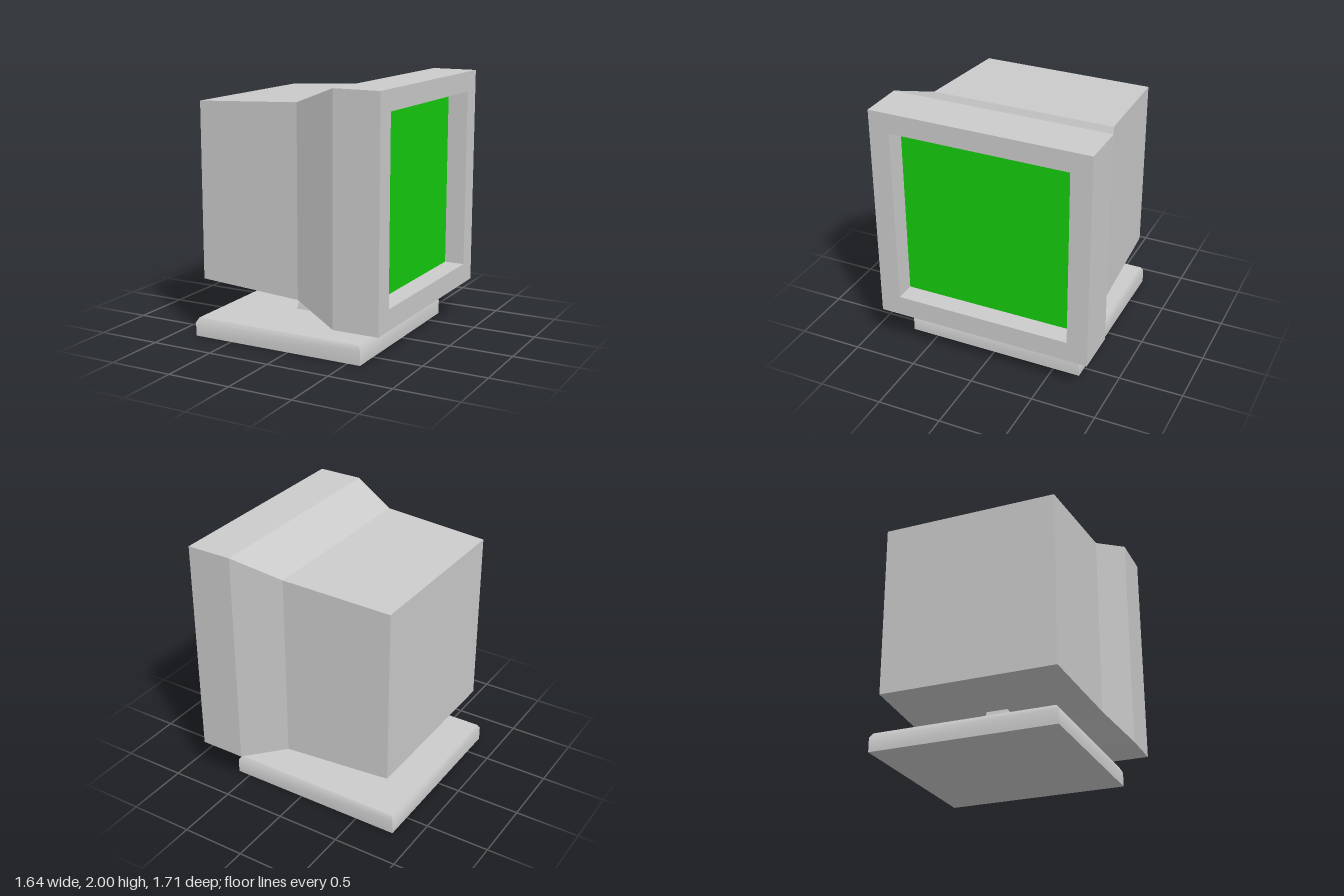
import * as THREE from 'three';
import { toCreasedNormals } from 'three/addons/utils/BufferGeometryUtils.js';

// Rectangular section across x: half depth hz, heights y0..y1
const sectionX = (x, y0, y1, hz) => [
  [x, y0, -hz], [x, y1, -hz], [x, y1, hz], [x, y0, hz],
];

// Rectangular section across y: x0..x1, half depth hz
const sectionY = (y, x0, x1, hz) => [
  [x0, y, -hz], [x0, y, hz], [x1, y, hz], [x1, y, -hz],
];

// Join four-cornered sections into a flat-faced solid, with optional caps
function loft(rings, capStart = true, capEnd = true) {
  const positions = [];
  const quad = (a, b, c, d) => positions.push(...a, ...b, ...c, ...a, ...c, ...d);
  for (let r = 0; r < rings.length - 1; r++) {
    for (let i = 0; i < 4; i++) {
      const j = (i + 1) % 4;
      quad(rings[r][i], rings[r][j], rings[r + 1][j], rings[r + 1][i]);
    }
  }
  if (capStart) quad(...[...rings[0]].reverse());
  if (capEnd) quad(...rings[rings.length - 1]);
  const geometry = new THREE.BufferGeometry();
  geometry.setAttribute('position', new THREE.Float32BufferAttribute(positions, 3));
  geometry.computeVertexNormals();
  return geometry;
}

export function createModel() {
  const group = new THREE.Group();
  const grey = new THREE.MeshStandardMaterial({ color: 0xcccccc });
  const green = new THREE.MeshStandardMaterial({ color: 0x14cc0d });

  const add = (name, geometry, material) => {
    const mesh = new THREE.Mesh(geometry, material);
    mesh.name = name;
    group.add(mesh);
    return mesh;
  };

  // Housing: tapered back, flared front, bezel, then the walls of the recess
  const opening = [0.45, 1.845, 0.695];
  const screenX = 0.66;
  add('housing', loft([
    sectionX(-0.75, 0.463, 1.83, 0.687),
    sectionX(0.1, 0.424, 1.87, 0.726),
    sectionX(0.46, 0.29, 2, 0.857),
    sectionX(0.82, 0.29, 2, 0.857),
    sectionX(0.82, ...opening),
    sectionX(screenX, ...opening),
  ], true, false), grey);

  // Screen at the bottom of the recess
  const screen = add('screen', new THREE.PlaneGeometry(1.39, 1.395), green);
  screen.rotation.y = Math.PI / 2;
  screen.position.set(screenX, 1.1475, 0);

  // Tapered neck, reaching into the housing
  add('neck', loft([
    sectionY(0.14, -0.25, 0.03, 0.142),
    sectionY(0.45, -0.19, -0.03, 0.082),
  ]), grey);

  // Base slab with softened top edges
  add('base', toCreasedNormals(loft([
    sectionY(0, -0.82, 0.604, 0.713),
    sectionY(0.11, -0.82, 0.604, 0.713),
    sectionY(0.145, -0.8, 0.584, 0.693),
  ]), 0.75), grey);

  return group;
}
